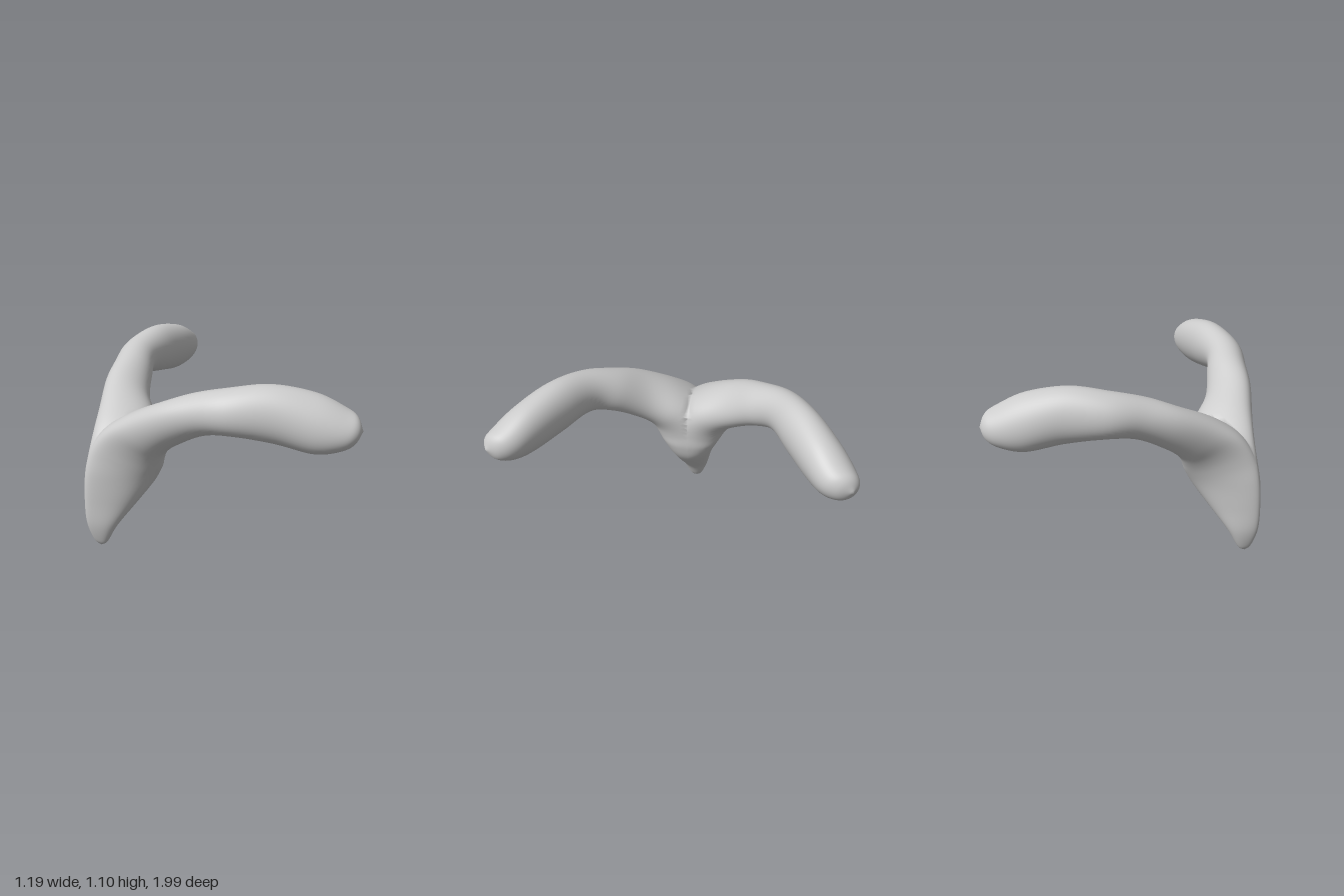
import * as THREE from 'three';
import { mergeVertices } from 'three/addons/utils/BufferGeometryUtils.js';

// Cross-sections from the foot to the arm tip:
// [upper edge x,y,z], [lower edge x,y,z], [half thickness towards the outer side]
const SECTIONS = [
  [[-0.505, 0.003, 0], [-0.505, 0.003, 0], [0, 0, 0]],
  [[-0.545, 0.05, 0], [-0.465, 0.03, 0], [0, 0, 0.035]],
  [[-0.585, 0.17, 0], [-0.4, 0.14, 0], [0, 0, 0.073]],
  [[-0.592, 0.32, 0], [-0.27, 0.27, 0], [0, 0, 0.1]],
  [[-0.582, 0.48, 0], [-0.16, 0.39, 0], [0, 0, 0.13]],
  [[-0.55, 0.61, 0.005], [-0.12, 0.495, 0.005], [0, -0.02, 0.16]],
  [[-0.49, 0.73, 0.055], [-0.115, 0.585, 0.045], [-0.015, -0.05, 0.155]],
  [[-0.4, 0.83, 0.16], [-0.108, 0.665, 0.145], [-0.05, -0.07, 0.11]],
  [[-0.275, 0.942, 0.325], [-0.09, 0.72, 0.265], [-0.063, -0.058, 0.077]],
  [[-0.145, 1.015, 0.435], [-0.02, 0.8, 0.425], [-0.078, -0.04, 0.073]],
  [[0, 1.07, 0.56], [0.045, 0.823, 0.57], [-0.078, -0.02, 0.083]],
  [[0.2, 1.1, 0.67], [0.22, 0.788, 0.705], [-0.063, 0, 0.1]],
  [[0.4, 1.06, 0.79], [0.37, 0.75, 0.825], [-0.067, 0, 0.105]],
  [[0.525, 0.99, 0.88], [0.475, 0.765, 0.89], [-0.058, 0, 0.095]],
  [[0.565, 0.95, 0.93], [0.545, 0.805, 0.935], [-0.04, 0, 0.06]],
  [[0.578, 0.88, 0.962], [0.578, 0.88, 0.962], [0, 0, 0]],
];
const STEPS = (SECTIONS.length - 1) * 6;
const SIDES = 48;

// Loft one half, stop it at the middle plane, and mirror it into one closed skin
function forkGeometry() {
  const [upper, lower, side] = [0, 1, 2].map((k) => new THREE.CatmullRomCurve3(
    SECTIONS.map((s) => new THREE.Vector3(...s[k])), false, 'catmullrom', 0.5));

  const rings = [];
  for (let i = 0; i <= STEPS; i++) {
    const p = upper.getPoint(i / STEPS);
    const q = lower.getPoint(i / STEPS);
    const b = side.getPoint(i / STEPS);
    const centre = p.clone().add(q).multiplyScalar(0.5);
    const a = p.clone().sub(q).multiplyScalar(0.5);
    // The stem is wedge-shaped, narrow at the back; the arms are oval
    const wedge = 0.42 * (1 - THREE.MathUtils.smoothstep(i / STEPS, 0.35, 0.6));
    const ring = [];
    for (let j = 0; j < SIDES; j++) {
      const t = (j / SIDES) * Math.PI * 2;
      const c = Math.cos(t);
      ring.push(centre.clone().addScaledVector(a, c)
        .addScaledVector(b, Math.sin(t) * (1 - wedge * c)));
    }
    // Cut the ring where it crosses the middle plane
    rings.push(ring.map((v, j) => {
      if (v.z > 0.0005) return v;
      const next = [ring[(j + 1) % SIDES], ring[(j + SIDES - 1) % SIDES]].find((n) => n.z > 0.0005);
      const cut = v.clone();
      if (next && v.z < 0) cut.lerp(next, v.z / (v.z - next.z));
      return cut.setZ(0);
    }));
  }

  const positions = [];
  const addTriangle = (a, b, c) => {
    if (a.z + b.z + c.z === 0) return; // lies inside, on the middle plane
    for (const v of [a, b, c]) positions.push(v.x, v.y, v.z);
    for (const v of [a, c, b]) positions.push(v.x, v.y, -v.z);
  };
  for (let i = 0; i < STEPS; i++) {
    for (let j = 0; j < SIDES; j++) {
      const k = (j + 1) % SIDES;
      if (i > 0) addTriangle(rings[i][j], rings[i][k], rings[i + 1][j]);
      if (i < STEPS - 1) addTriangle(rings[i][k], rings[i + 1][k], rings[i + 1][j]);
    }
  }

  const geometry = new THREE.BufferGeometry();
  geometry.setAttribute('position', new THREE.Float32BufferAttribute(positions, 3));
  const welded = mergeVertices(geometry, 1e-4);
  welded.computeVertexNormals();
  return welded;
}

export function createModel() {
  const group = new THREE.Group();
  group.name = 'forkedBody';

  // Keel-like stem that splits into two curved, rounded arms
  const body = new THREE.Mesh(forkGeometry(), new THREE.MeshStandardMaterial({ color: 0xcccccc }));
  body.name = 'stemAndArms';
  group.add(body);
  return group;
}
